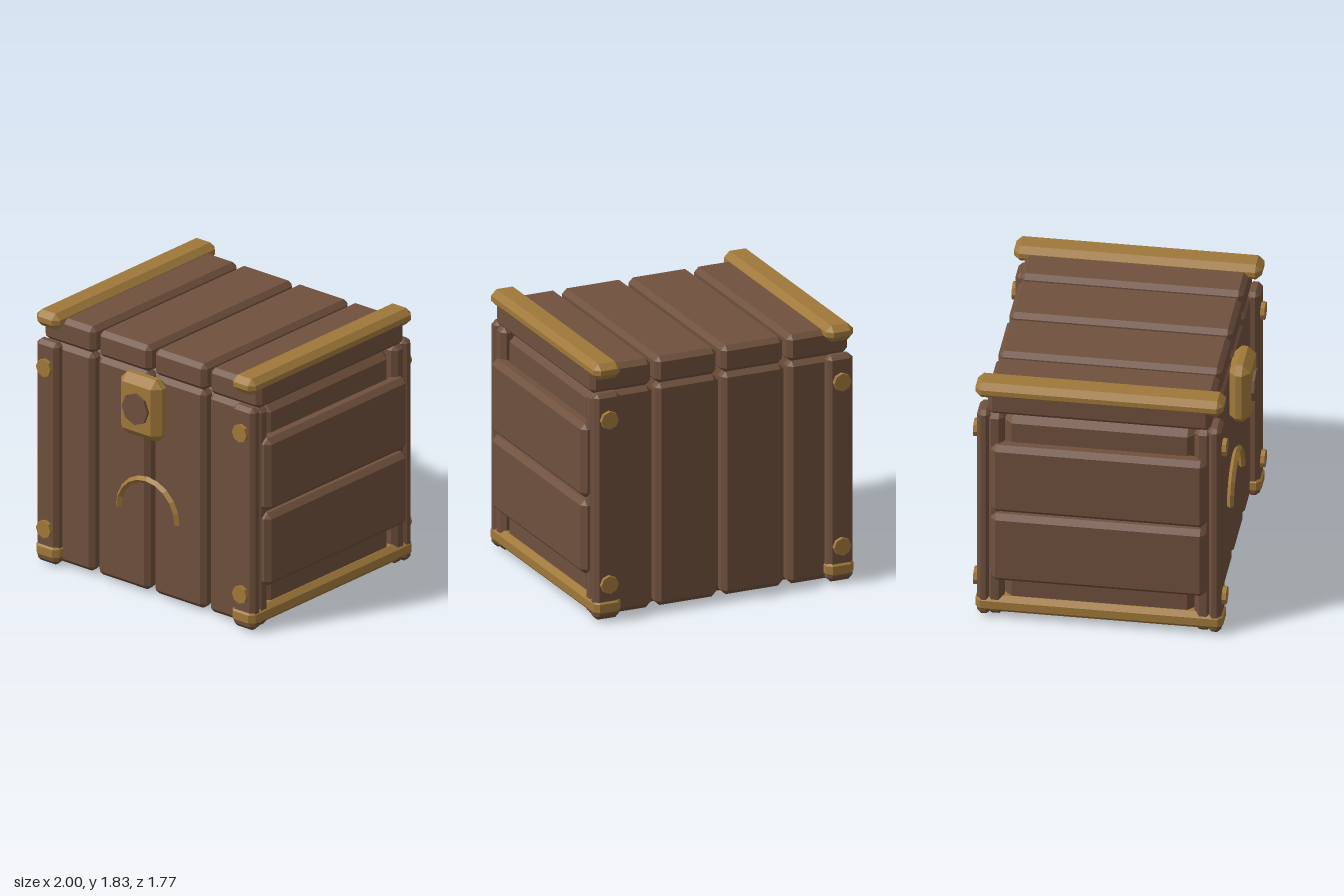
import * as THREE from 'three';
import { ConvexGeometry } from 'three/addons/geometries/ConvexGeometry.js';

export function createModel() {
  const wood = new THREE.MeshStandardMaterial({ name: 'brown wood', color: 0x6f503d, flatShading: true });
  const brass = new THREE.MeshStandardMaterial({ name: 'aged brass', color: 0xa0783a, flatShading: true });

  const model = new THREE.Group();
  model.name = 'chest';
  const body = new THREE.Group();
  body.name = 'chestBody';
  body.position.z = -0.032; // fittings on the front shift the body back
  model.add(body);

  function add(name, geometry, material, x = 0, y = 0, z = 0) {
    const mesh = new THREE.Mesh(geometry, material);
    mesh.name = name;
    mesh.position.set(x, y, z);
    body.add(mesh);
    return mesh;
  }

  // Box with every edge bevelled, given by its limits on each axis
  function bevelBox(name, material, [x0, x1], [y0, y1], [z0, z1], c) {
    const h = [(x1 - x0) / 2, (y1 - y0) / 2, (z1 - z0) / 2];
    const points = [];
    for (const sx of [-1, 1]) for (const sy of [-1, 1]) for (const sz of [-1, 1]) {
      for (let full = 0; full < 3; full++) {
        const [a, b, d] = h.map((v, i) => (i === full ? v : v - c));
        points.push(new THREE.Vector3(sx * a, sy * b, sz * d));
      }
    }
    return add(name, new ConvexGeometry(points), material, (x0 + x1) / 2, (y0 + y1) / 2, (z0 + z1) / 2);
  }

  // Eight-sided stud facing front or back
  function stud(name, material, radius, x, y, z, depth) {
    const geometry = new THREE.CylinderGeometry(radius, radius, depth, 8);
    geometry.rotateX(Math.PI / 2);
    return add(name, geometry, material, x, y, z);
  }

  // Range mirrored to either side of zero
  const mirror = (s, a, b) => (s > 0 ? [a, b] : [-b, -a]);

  // Solid inner box
  bevelBox('core', wood, [-0.915, 0.915], [0, 1.58], [-0.65, 0.65], 0.06);

  // Lid, front and back planks share the same spacing
  for (const s of [-1, 1]) {
    for (const [a, b] of [[0.018, 0.468], [0.502, 0.945]]) {
      const x = mirror(s, a, b);
      bevelBox('lidPlank', wood, x, [1.59, 1.78], [-0.75, 0.75], 0.033);
      for (const f of [-1, 1]) {
        bevelBox(f > 0 ? 'frontPlank' : 'backPlank', wood, x, [0.02, 1.595], mirror(f, 0.64, 0.757), 0.033);
      }
    }
  }

  for (const s of [-1, 1]) {
    // Side planks
    for (const y of [[0.315, 0.837], [0.855, 1.375]]) {
      bevelBox('sidePlank', wood, mirror(s, 0.87, 1), y, [-0.7225, 0.7225], 0.036);
    }
    // Brass straps over the lid and under the sides
    bevelBox('lidStrap', brass, mirror(s, 0.755, 0.955), [1.71, 1.825], [-0.8325, 0.8325], 0.04);
    bevelBox('baseStrap', brass, mirror(s, 0.755, 0.955), [0.04, 0.165], [-0.8325, 0.8325], 0.034);
    // Corner posts with studs
    for (const f of [-1, 1]) {
      bevelBox('cornerPost', wood, mirror(s, 0.763, 0.95), [0.015, 1.613], mirror(f, 0.73, 0.82), 0.028);
      for (const y of [0.268, 1.432]) stud('stud', brass, 0.063, s * 0.855, y, f * 0.82, 0.058);
    }
  }

  // Lock plate and knob
  bevelBox('lockPlate', brass, [-0.178, 0.178], [1.17, 1.613], [0.747, 0.897], 0.054);
  stud('lockKnob', wood, 0.112, 0, 1.393, 0.89, 0.054);

  // Arched handle with a diamond section and closed ends
  add('handle', new THREE.TorusGeometry(0.255, 0.024, 4, 10, Math.PI), brass, 0, 0.585, 0.78);
  for (const s of [-1, 1]) {
    const end = new THREE.CircleGeometry(0.024, 4);
    end.rotateX(Math.PI / 2);
    add('handleEnd', end, brass, s * 0.255, 0.585, 0.78);
  }

  return model;
}
